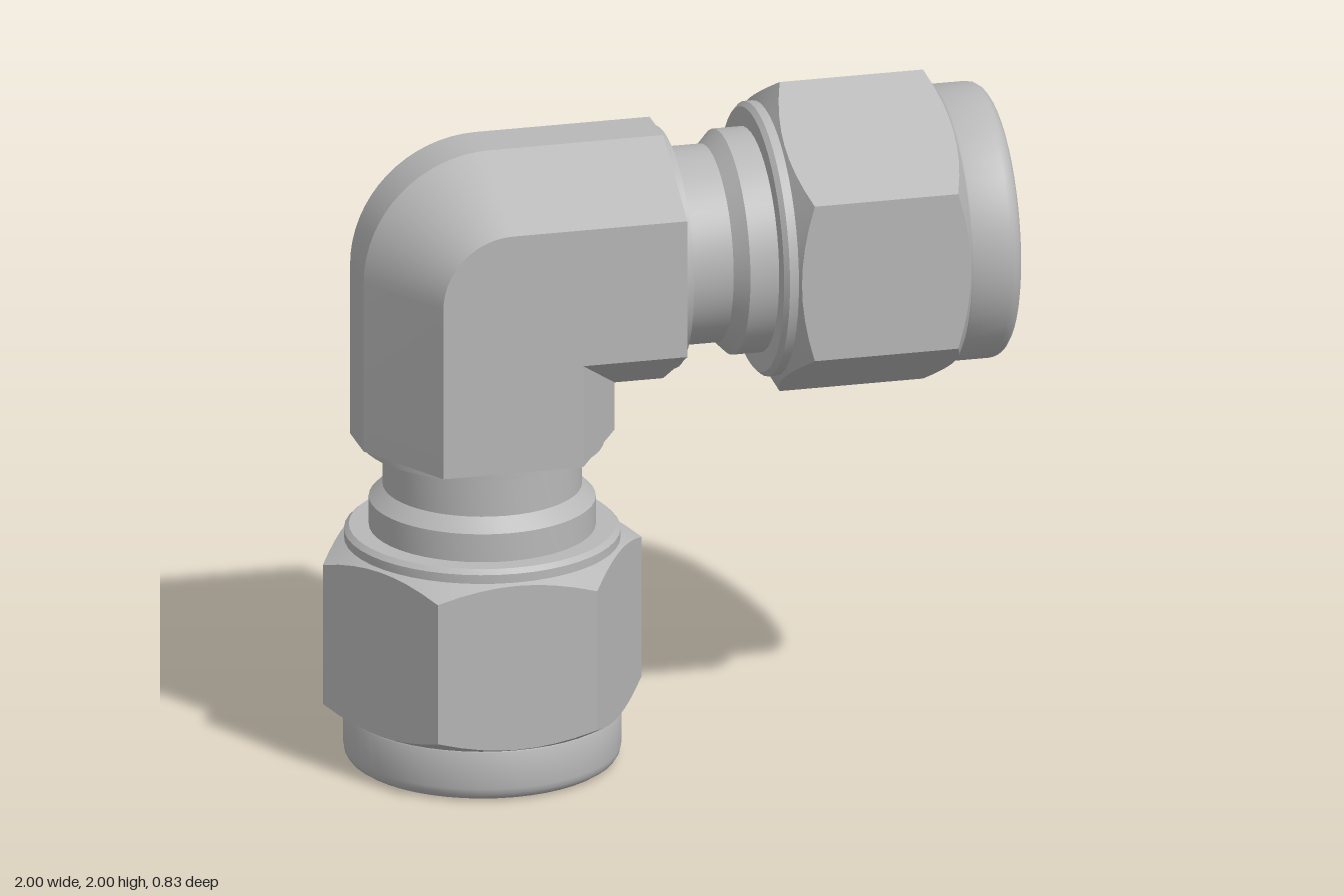
import * as THREE from 'three';
import { toCreasedNormals } from 'three/addons/utils/BufferGeometryUtils.js';

const steel = new THREE.MeshStandardMaterial({ color: 0xb8b8b8, side: THREE.DoubleSide });
steel.name = 'steel grey';

const CX = -0.522, CY = 1.522;   // where the two arm axes cross
const FACE = 0.522;              // distance from crossing to body end face
const APOTHEM = 0.414;           // nut half width across flats

function part(name, geometry) {
  const mesh = new THREE.Mesh(toCreasedNormals(geometry, 0.5), steel);
  mesh.name = name;
  return mesh;
}

// Body cross-section as [outward, z]: a hexagon with its two points cut off
const half = [[0.376, 0.08], [0.21, 0.365], [0, 0.365], [-0.21, 0.365], [-0.376, 0.08]];
const section = [...half, ...half.map(([u, z]) => [u, -z]).reverse()];

// Elbow block: rounded on the outside of the bend, mitred on the inside
function elbowGeometry() {
  const rings = [section.map(([u, z]) => [CX + FACE, CY + u, z])];
  const steps = 16;
  for (let s = 0; s <= steps; s++) {
    const a = (s / steps) * Math.PI / 2;
    rings.push(section.map(([u, z]) => (u >= 0
      ? [CX - u * Math.sin(a), CY + u * Math.cos(a), z]
      : [CX - u, CY + u, z])));
  }
  rings.push(section.map(([u, z]) => [CX - u, CY - FACE, z]));

  const positions = [];
  const triangle = (...corners) => {
    const [a, b, c] = corners.map((p) => new THREE.Vector3(...p));
    if (new THREE.Triangle(a, b, c).getArea() > 1e-7) positions.push(...corners.flat());
  };
  for (let s = 0; s < rings.length - 1; s++) {
    for (let i = 0; i < section.length; i++) {
      const j = (i + 1) % section.length;
      triangle(rings[s][i], rings[s + 1][i], rings[s][j]);
      triangle(rings[s + 1][i], rings[s + 1][j], rings[s][j]);
    }
  }
  const geometry = new THREE.BufferGeometry();
  geometry.setAttribute('position', new THREE.Float32BufferAttribute(positions, 3));
  geometry.computeVertexNormals();
  return geometry;
}

// Profile of [radius, distance] turned around the arm axis
function turned(profile) {
  return new THREE.LatheGeometry(profile.map(([r, t]) => new THREE.Vector2(r, t)), 48);
}

// Hexagon with conical chamfers at both ends, shaped from a turned sleeve
function hexGeometry(start, end) {
  const geometry = turned([[0.402, start - 0.006], [APOTHEM, start], [APOTHEM, end], [0.402, end + 0.006]]);
  const p = geometry.attributes.position;
  for (let i = 0; i < p.count; i++) {
    const row = i % 4;
    if (row === 0 || row === 3) continue;
    const phi = Math.atan2(p.getX(i), p.getZ(i));
    const offset = phi - Math.round(phi / (Math.PI / 3)) * Math.PI / 3;
    const r = APOTHEM / Math.cos(offset);
    const inset = (r - APOTHEM) * 0.6;
    p.setXYZ(i, r * Math.sin(phi), row === 1 ? start + inset : end - inset, r * Math.cos(phi));
  }
  return geometry;
}

// One arm along +x: end face, collar and neck, then the nut
function createArm(name) {
  const arm = new THREE.Group();
  arm.name = name;

  const outline = new THREE.Shape(section.map(([u, z]) => new THREE.Vector2(z, u)));
  const hole = new THREE.Path();
  hole.absarc(0, 0, 0.29, 0, Math.PI * 2, true);
  outline.holes.push(hole);
  const endFace = part('bodyEndFace', new THREE.ShapeGeometry(outline, 24));
  endFace.rotation.y = Math.PI / 2;
  endFace.position.x = FACE;
  arm.add(endFace);

  // rounded rim of the nut's outer end
  const rim = [];
  for (let i = 0; i <= 4; i++) {
    const a = (i / 4) * Math.PI / 2;
    rim.push([0.364 + 0.04 * Math.cos(a), 1.482 + 0.04 * Math.sin(a)]);
  }
  const turnedParts = [
    part('collarAndNeck', turned([[0.355, FACE], [0.355, 0.545], [0.29, 0.545], [0.29, 0.68],
      [0.33, 0.72], [0.33, 0.82], [0.17, 0.82]])),
    part('nutBackRing', turned([[0.325, 0.806], [0.388, 0.806], [0.402, 0.82], [0.402, 0.85]])),
    part('hexNut', hexGeometry(0.853, 1.36)),
    part('nutEndCap', turned([[0.402, 1.366], [0.404, 1.37], ...rim, [0.215, 1.522]])),
  ];
  for (const mesh of turnedParts) {
    mesh.rotation.z = -Math.PI / 2;
    arm.add(mesh);
  }
  arm.position.set(CX, CY, 0);
  return arm;
}

export function createModel() {
  const model = new THREE.Group();
  model.name = 'elbowPipeFitting';
  model.add(part('elbowBody', elbowGeometry()));
  const sideArm = createArm('sideArm');
  const lowerArm = createArm('lowerArm');
  lowerArm.rotation.z = -Math.PI / 2;
  model.add(sideArm, lowerArm);
  return model;
}
